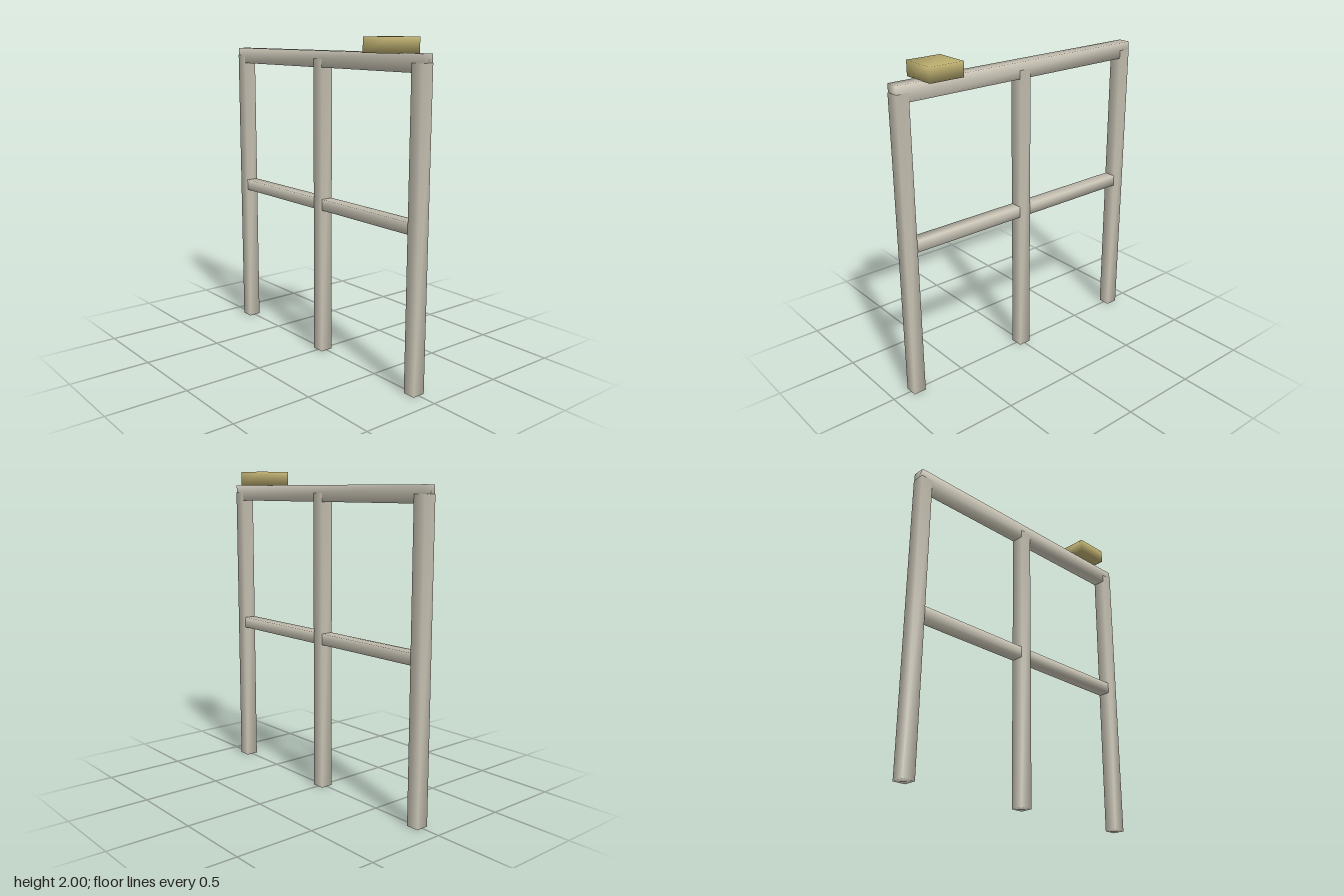
import * as THREE from 'three';
import { mergeVertices } from 'three/addons/utils/BufferGeometryUtils.js';

// Box with shared corners, so its shading runs smoothly across the edges
function softBox(w, h, d) {
  const g = new THREE.BoxGeometry(w, h, d);
  g.deleteAttribute('uv');
  g.deleteAttribute('normal');
  const merged = mergeVertices(g);
  merged.computeVertexNormals();
  return merged;
}

export function createModel() {
  const group = new THREE.Group();
  const frame = new THREE.MeshStandardMaterial({ color: 0xc9c4b5 });
  const tan = new THREE.MeshStandardMaterial({ color: 0xbcae70 });

  const add = (name, material, [w, h, d], [x, y, z]) => {
    const mesh = new THREE.Mesh(softBox(w, h, d), material);
    mesh.name = name;
    mesh.position.set(x, y, z);
    group.add(mesh);
  };

  // Three upright posts
  ['rightPost', 'middlePost', 'leftPost'].forEach((name, i) =>
    add(name, frame, [0.08, 1.865, 0.08], [(i - 1) * 0.838, 0.9325, 0]));

  // Rails, a hair thinner than the posts
  add('topRail', frame, [1.75, 0.1, 0.079], [0, 1.864, 0]);
  add('middleRail', frame, [1.676, 0.07, 0.078], [0, 0.971, 0]);

  // Block resting on the top rail
  add('topBlock', tan, [0.22, 0.088, 0.22], [0.6, 1.956, 0]);

  return group;
}
